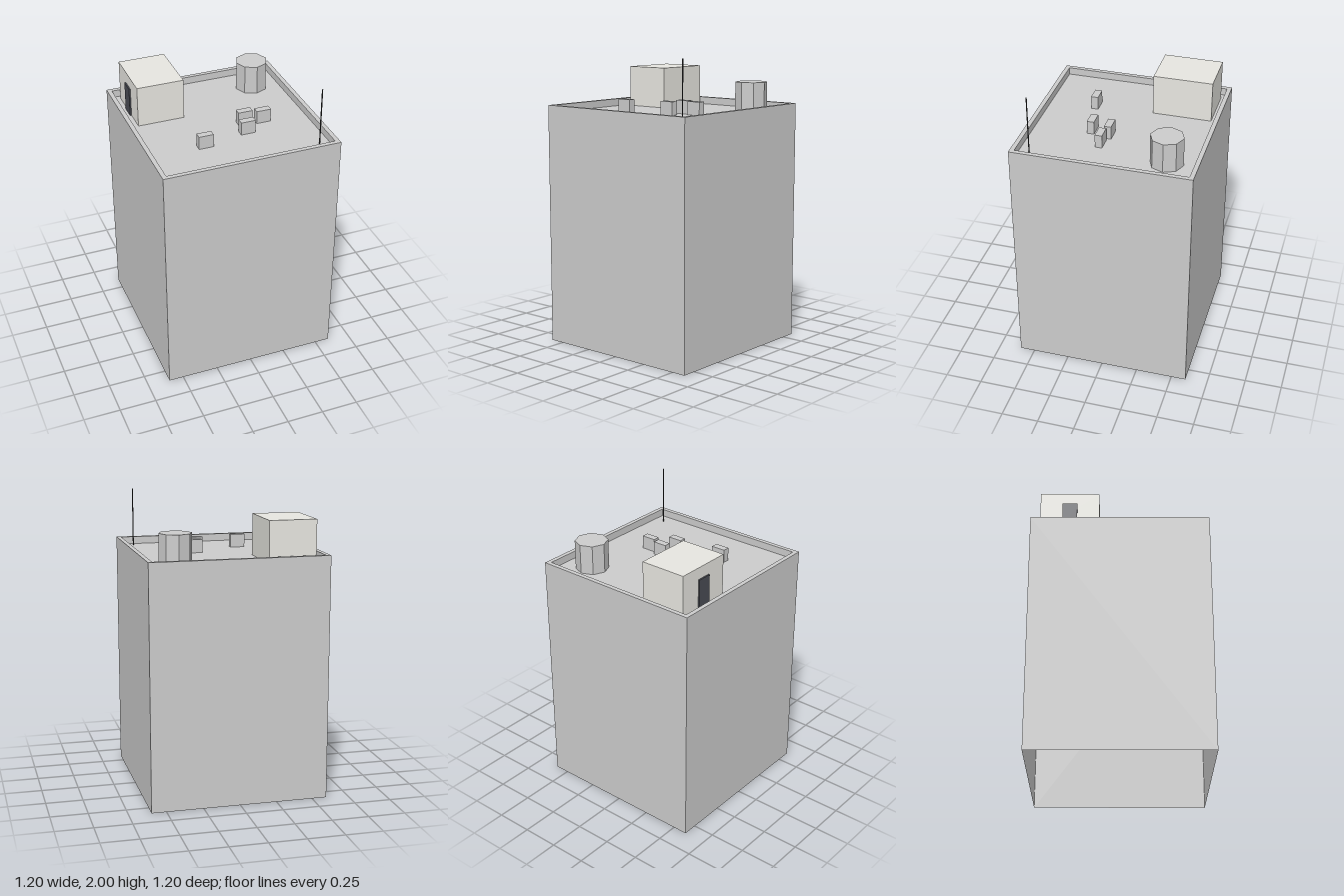
import * as THREE from 'three';

const ROOF = 1.6; // roof deck height
const grey = new THREE.MeshStandardMaterial({ color: 0xcccccc, flatShading: true });
const shell = new THREE.MeshStandardMaterial({ color: 0xcccccc, flatShading: true, side: THREE.DoubleSide });
const plaster = new THREE.MeshStandardMaterial({ color: 0xe7e6e0 });
const doorPaint = new THREE.MeshStandardMaterial({ color: 0x4a4c54 });
const darkMetal = new THREE.MeshStandardMaterial({ color: 0x333333 });

export function createModel() {
  const group = new THREE.Group();
  group.name = 'rooftopBuilding';

  const add = (name, geometry, material, x, y, z) => {
    const mesh = new THREE.Mesh(geometry, material);
    mesh.name = name;
    mesh.position.set(x, y, z);
    group.add(mesh);
  };
  // places a box standing on the roof deck
  const roofBox = (name, material, w, h, d, x, z) =>
    add(name, new THREE.BoxGeometry(w, h, d), material, x, ROOF + h / 2, z);

  // open-bottomed walls, parapet and roof deck as one four-sided revolved profile
  const profile = [[0.6, 0], [0.6, 1.65], [0.57, 1.65], [0.57, ROOF], [0, ROOF]]
    .map(([half, y]) => new THREE.Vector2(half * Math.SQRT2, y));
  add('wallsAndRoof', new THREE.LatheGeometry(profile, 4, Math.PI / 4), shell, 0, 0, 0);

  // stair house with its door on the side
  roofBox('stairHouse', plaster, 0.32, 0.28, 0.4, -0.36, -0.34);
  roofBox('stairDoor', doorPaint, 0.02, 0.2, 0.1, -0.52, -0.34);

  // octagonal water tank
  add('waterTank', new THREE.CylinderGeometry(0.11, 0.11, 0.2, 8), grey, 0.38, ROOF + 0.1, -0.38);

  // air conditioning units
  [[0.15, 0.062], [0.27, 0.088], [0.12, 0.187], [-0.198, 0.255]].forEach(([x, z], i) =>
    roofBox(`airConditioner${i + 1}`, grey, 0.1, 0.09, 0.048, x, z));

  // antenna mast
  add('antenna', new THREE.CylinderGeometry(0.004, 0.004, 0.4, 6), darkMetal, 0.497, ROOF + 0.2, 0.497);

  return group;
}
